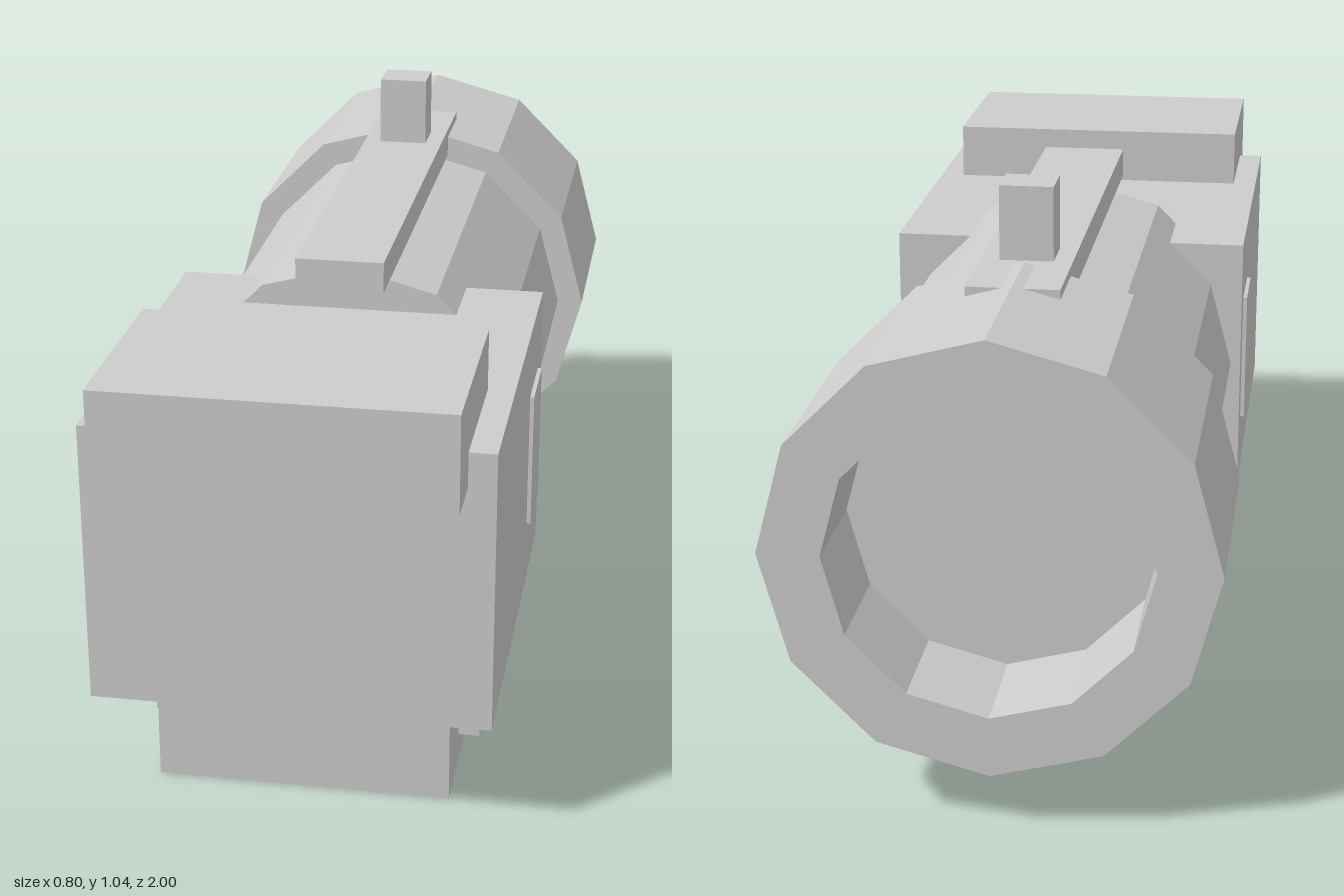
import * as THREE from 'three';

export function createModel() {
  const group = new THREE.Group();
  const grey = new THREE.MeshStandardMaterial({ color: 0xcccccc, flatShading: true });
  grey.name = 'light grey';

  const add = (name, geometry) => {
    const mesh = new THREE.Mesh(geometry, grey);
    mesh.name = name;
    group.add(mesh);
    return mesh;
  };

  // Box given by its limits on each axis
  const box = (name, [x0, x1], [y0, y1], [z0, z1]) => {
    const g = new THREE.BoxGeometry(x1 - x0, y1 - y0, z1 - z0);
    g.translate((x0 + x1) / 2, (y0 + y1) / 2, (z0 + z1) / 2);
    return add(name, g);
  };

  // Twelve-sided solid along z; profile points are [radius, z] from front to back
  const axisY = 0.505;
  const turned = (name, profile) => {
    const points = profile.map(([r, z]) => new THREE.Vector2(r, -z));
    const g = new THREE.LatheGeometry(points, 12).rotateX(-Math.PI / 2).toNonIndexed();
    g.translate(0, axisY, 0);
    g.computeVertexNormals();
    return add(name, g);
  };

  // Main housing with its overhanging cap and base
  box('body', [-0.365, 0.365], [0.23, 0.765], [0.1, 0.89]);
  box('cap', [-0.315, 0.315], [0.7, 0.88], [0.615, 1]);
  box('base', [-0.275, 0.275], [0, 0.23], [0.27, 0.765]);

  // Side plates and base lugs, mirrored
  for (const [side, s] of [['left', 1], ['right', -1]]) {
    const span = (a, b) => (s > 0 ? [a, b] : [-b, -a]);
    box(side + 'SidePlate', span(0.364, 0.373), [0.36, 0.63], [0.17, 0.32]);
    box(side + 'BaseLug', span(0.27, 0.315), [0.057, 0.182], [0.4, 0.63]);
  }

  // Barrel and hollow rear shroud
  turned('barrel', [[0, 0.255], [0.345, 0.255], [0.345, -0.56], [0, -0.56]]);
  turned('shroud', [[0, -0.55], [0.4, -0.55], [0.4, -1], [0.288, -1], [0.288, -0.79], [0, -0.79]]);

  // Top rail and upright post
  box('rail', [-0.085, 0.085], [0.84, 0.9], [-0.695, 0.358]);
  box('post', [-0.05, 0.05], [0.89, 1.04], [-0.522, -0.435]);

  return group;
}
